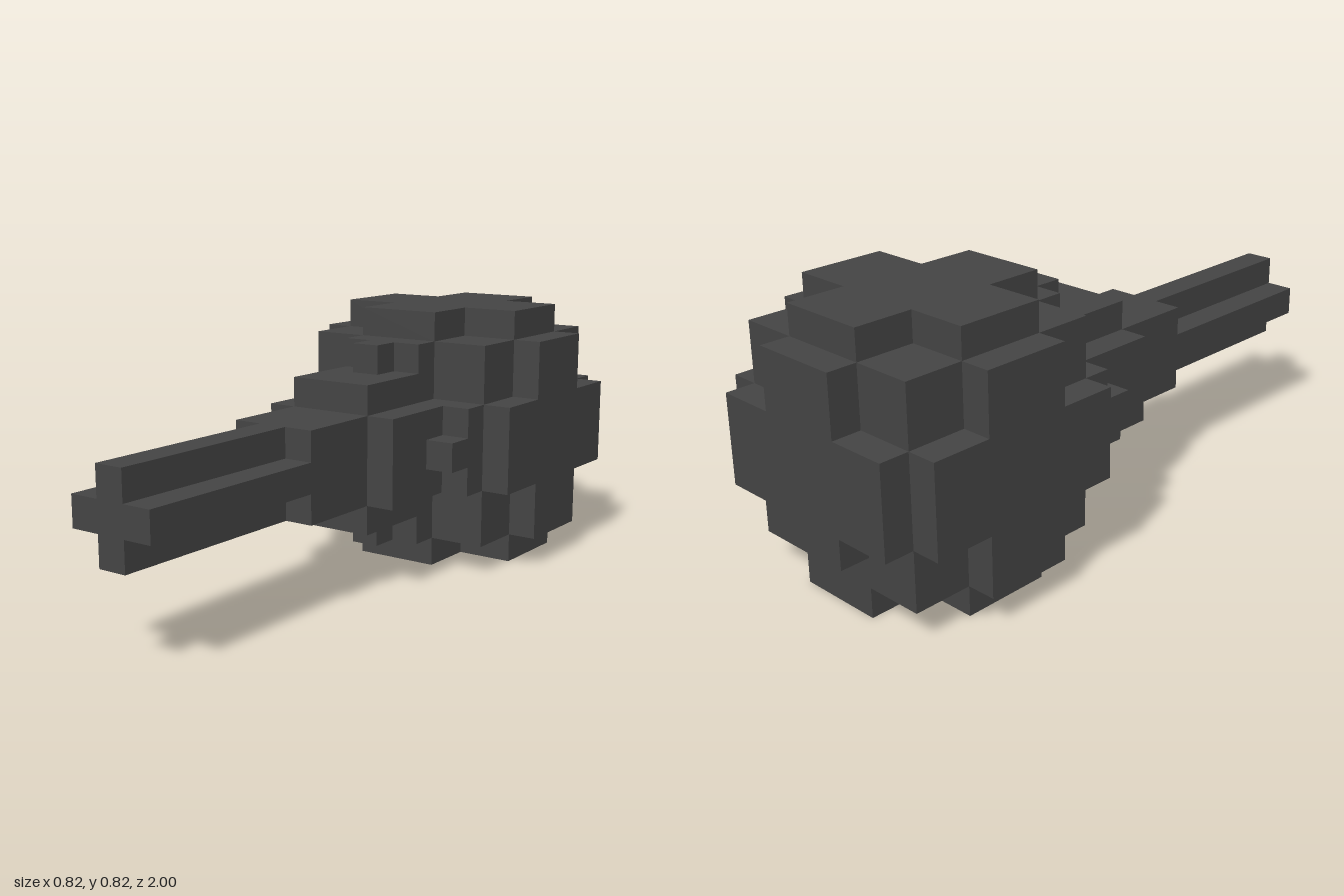
import * as THREE from 'three';

const U = 1 / 11; // one block

export function createModel() {
  const model = new THREE.Group();
  const charcoal = new THREE.MeshStandardMaterial({ color: 0x444444 });
  charcoal.name = 'charcoal';

  // Everything is measured in blocks; the origin is the centre of the round head
  const body = new THREE.Group();
  body.name = 'mace';
  body.scale.setScalar(U);
  body.position.set(0, 4.5 * U, -1 + 4.5 * U);
  model.add(body);

  const add = (name, geometry, parent = body) => {
    const mesh = new THREE.Mesh(geometry, charcoal);
    mesh.name = name;
    parent.add(mesh);
    return mesh;
  };

  // Plus-shaped bar along z: arm length a, half width w, from z0 to z1
  const plusBar = (a, w, z0, z1, bottom = a) => {
    const shape = new THREE.Shape([
      [w, -bottom], [w, -w], [a, -w], [a, w], [w, w], [w, a],
      [-w, a], [-w, w], [-a, w], [-a, -w], [-w, -w], [-w, -bottom],
    ].map(([x, y]) => new THREE.Vector2(x, y)));
    return new THREE.ExtrudeGeometry(shape, { depth: z1 - z0, bevelEnabled: false }).translate(0, 0, z0);
  };

  // Head: a cube with a plus-shaped plate on each side
  add('headCore', new THREE.BoxGeometry(7, 7, 7));
  const plates = [
    ['frontPlate', 0, 0], ['leftPlate', 0, Math.PI / 2], ['rightPlate', 0, -Math.PI / 2],
    ['topPlate', -Math.PI / 2, 0], ['bottomPlate', Math.PI / 2, 0],
  ];
  for (const [name, rx, ry] of plates) {
    add(name, plusBar(3.5, 1.5, 3.5, 4.5)).rotation.set(rx, ry, 0);
  }
  // The back plate has a shorter lower arm
  add('backPlate', plusBar(3.5, 1.5, -4.5, -3.5, 2.5));

  // Four studs around the neck
  for (const [x, y] of [[3, 0], [-3, 0], [0, 3], [0, -3]]) {
    add('stud', new THREE.BoxGeometry(1, 1, 1).translate(x, y, 5));
  }

  // Neck, collar and fluted handle
  add('neck', plusBar(2.5, 1.5, 4.5, 7.5));
  add('collar', new THREE.BoxGeometry(3, 3, 3).translate(0, 0, 9));
  add('handle', plusBar(1.5, 0.5, 10.5, 17.5));

  return model;
}
